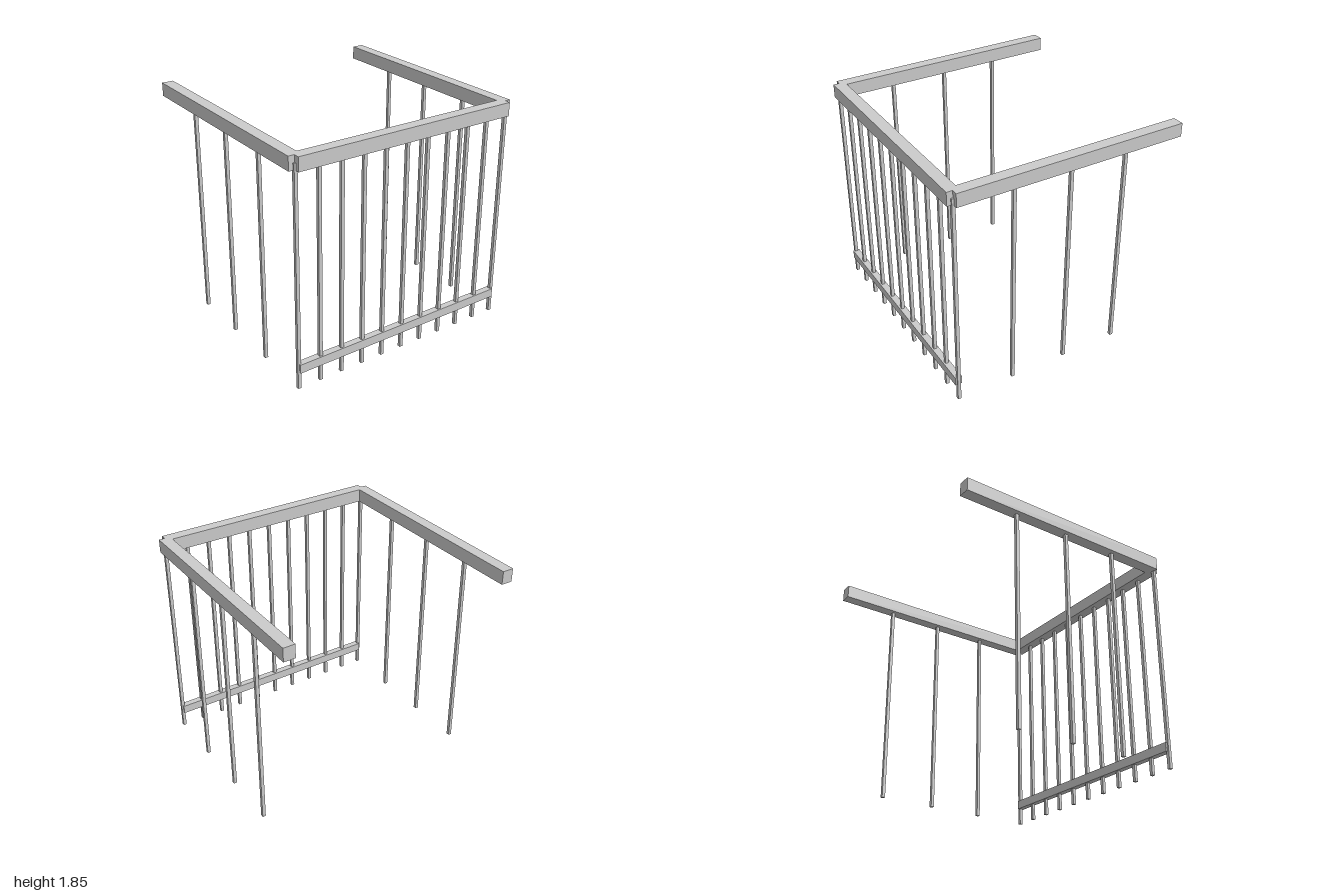
import * as THREE from 'three';

const material = new THREE.MeshStandardMaterial({ color: 0xcccccc, flatShading: true });

const HALF = 0.9515;   // post line on each side
const FRONT = 0.928;   // post line at the front
const RAIL_Y = 1.795;  // centre height of the handrail
const RAIL_W = 0.095;
const RAIL_H = 0.11;

export function createModel() {
  const model = new THREE.Group();
  model.name = 'balconyRailing';

  const addBox = (name, w, h, d, x, y, z) => {
    const mesh = new THREE.Mesh(new THREE.BoxGeometry(w, h, d), material);
    mesh.name = name;
    mesh.position.set(x, y, z);
    model.add(mesh);
  };
  const addBaluster = (name, x, z) => addBox(name, 0.027, RAIL_Y, 0.027, x, RAIL_Y / 2, z);

  // Handrails: one across the front, one running back along each side
  addBox('frontHandrail', HALF * 2, RAIL_H, RAIL_W, 0, RAIL_Y, FRONT);
  const back = -0.975;
  for (const [side, s] of [['left', 1], ['right', -1]]) {
    addBox(side + 'Handrail', RAIL_W, RAIL_H, FRONT - back, s * HALF, RAIL_Y, (FRONT + back) / 2);
    // Widely spaced side balusters
    for (let i = 1; i <= 3; i++) addBaluster(side + 'Baluster' + i, s * HALF, FRONT + 0.004 - i * 0.476);
  }

  // Front balusters and the low rail that ties them together
  for (let i = 0; i <= 10; i++) addBaluster('frontBaluster' + (i + 1), -HALF + (i * HALF) / 5, FRONT + 0.003);
  addBox('bottomRail', HALF * 2, 0.073, 0.055, 0, 0.175, FRONT + 0.002);

  return model;
}
